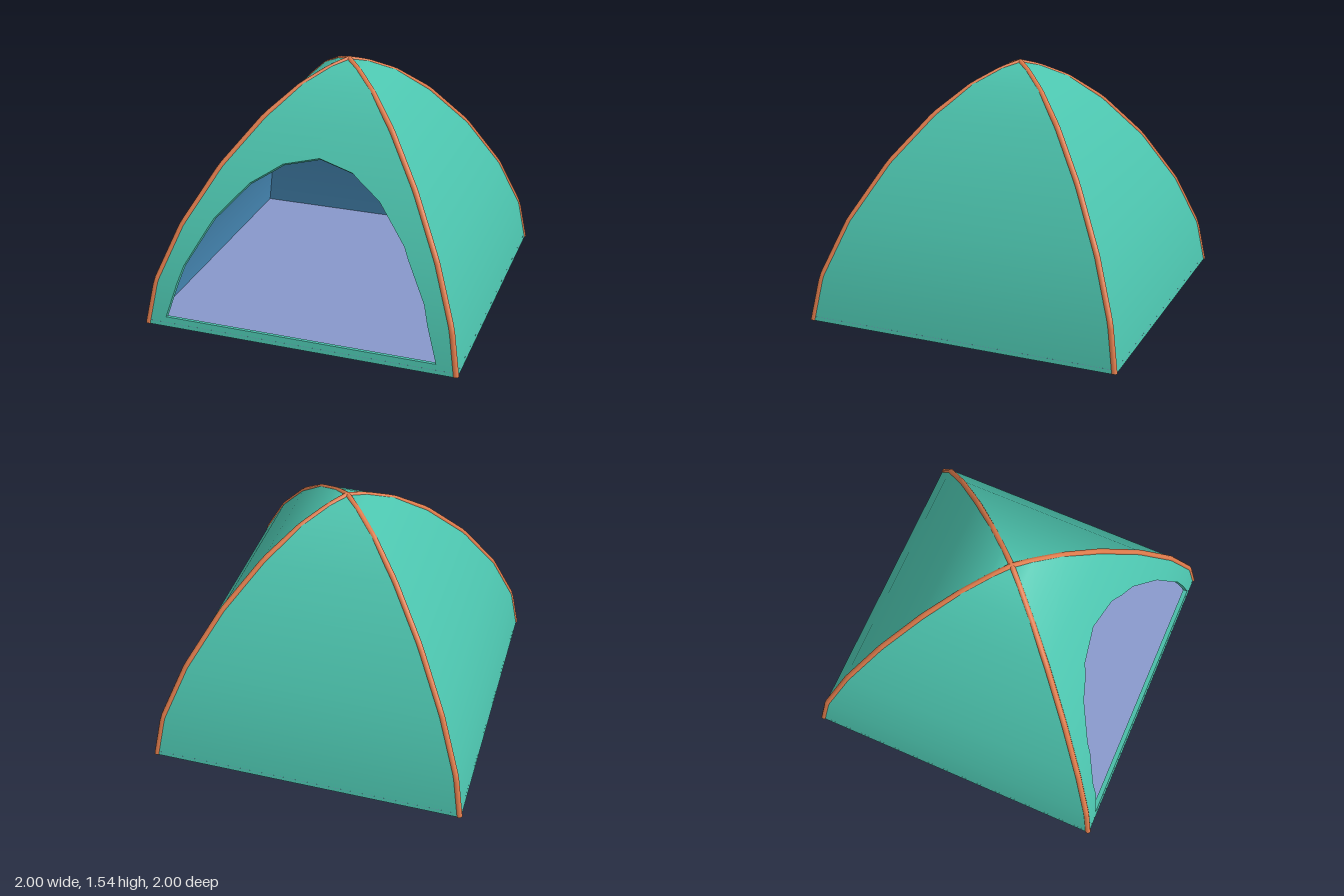
import * as THREE from 'three';

const T = 0.03; // wall thickness
// half-width and height of the square dome, base to apex
const PROFILE = [[0.992, 0], [0.945, 0.28], [0.815, 0.62], [0.625, 0.96], [0.415, 1.235], [0.24, 1.405], [0.1, 1.49], [0, 1.525]];
// half-width and height of the door arch, sill to crown
const ARCH = [[0.86, 0.06], [0.76, 0.39], [0.6, 0.68], [0.41, 0.89], [0.22, 1.01], [0, 1.06]];

// value of a polyline [x, y] at height y
function widthAt(line, y) {
  for (let i = 1; i < line.length; i++) {
    const [x0, y0] = line[i - 1], [x1, y1] = line[i];
    if (y <= y1 + 1e-9) return x0 + (x1 - x0) * (y - y0) / (y1 - y0);
  }
  return 0;
}

// smooth outward normal [out, up] at every profile point
const NORMALS = PROFILE.map((p, i) => {
  if (i === PROFILE.length - 1) return [0, 1];
  const a = PROFILE[Math.max(i - 1, 0)], b = PROFILE[i + 1];
  const l = Math.hypot(b[0] - a[0], b[1] - a[1]);
  return [(b[1] - a[1]) / l, (a[0] - b[0]) / l];
});

function makeRow(y) {
  const n = new THREE.Vector2(
    widthAt(PROFILE.map((p, i) => [NORMALS[i][0], p[1]]), y),
    widthAt(PROFILE.map((p, i) => [NORMALS[i][1], p[1]]), y)).normalize();
  const h = widthAt(PROFILE, y);
  const door = y >= ARCH[0][1] ? widthAt(ARCH, y) : 0;
  return { y, h, n, door, hIn: Math.max(h - T * n.x, 0), yIn: Math.max(y - T * n.y, 0) };
}

const ROWS = [...new Set([...PROFILE, ...ARCH].map(p => p[1]))].sort((a, b) => a - b).map(makeRow);

function toGeometry(positions, normals) {
  const g = new THREE.BufferGeometry();
  g.setAttribute('position', new THREE.Float32BufferAttribute(positions, 3));
  if (normals) g.setAttribute('normal', new THREE.Float32BufferAttribute(normals, 3));
  else g.computeVertexNormals();
  return g;
}

// one wall facing +z, in bands; inner walls face the other way
function wallGeometry(inner, hasDoor) {
  const pos = [], nor = [];
  const s = inner ? -1 : 1;
  const vertex = (r, x) => {
    pos.push(x, inner ? r.yIn : r.y, inner ? r.hIn : r.h);
    nor.push(0, s * r.n.y, s * r.n.x);
  };
  const quad = (a, b, al, ar, bl, br) => {
    const c = [[a, al], [a, ar], [b, br], [a, al], [b, br], [b, bl]];
    if (inner) c.reverse();
    c.forEach(([r, x]) => vertex(r, x));
  };
  for (let i = 1; i < ROWS.length; i++) {
    const a = ROWS[i - 1], b = ROWS[i];
    const ha = inner ? a.hIn : a.h, hb = inner ? b.hIn : b.h;
    if (hasDoor && a.door > 0) {
      quad(a, b, -ha, -a.door, -hb, -b.door);
      quad(a, b, a.door, ha, b.door, hb);
    } else quad(a, b, -ha, ha, -hb, hb);
  }
  return toGeometry(pos, nor);
}

// fabric edge all round the door, joining outer and inner wall
function doorRimGeometry() {
  const pos = [];
  const rows = ROWS.filter(r => r.y >= ARCH[0][1] && r.y <= ARCH[ARCH.length - 1][1]);
  const edge = [...rows.map(r => [r, r.door]), ...rows.slice(0, -1).reverse().map(r => [r, -r.door])];
  edge.forEach(([r, x], i) => {
    const [q, u] = edge[(i + 1) % edge.length];
    const a = [x, r.y, r.h], b = [u, q.y, q.h], c = [u, q.yIn, q.hIn], d = [x, r.yIn, r.hIn];
    pos.push(...a, ...b, ...c, ...a, ...c, ...d);
  });
  return toGeometry(pos);
}

export function createModel() {
  const group = new THREE.Group();
  const material = (name, color) => {
    const m = new THREE.MeshStandardMaterial({ color });
    m.name = name;
    return m;
  };
  const green = material('green fabric', 0x4cc4ae);
  const blue = material('blue lining', 0x4a8fbe);
  const lavender = material('lavender floor', 0x8797cb);
  const orange = material('orange pole', 0xe07c4c);
  green.side = THREE.DoubleSide;

  const add = (name, geometry, mat) => {
    const mesh = new THREE.Mesh(geometry, mat);
    mesh.name = name;
    group.add(mesh);
    return mesh;
  };

  // four walls with lining
  ['front', 'left', 'back', 'right'].forEach((side, i) => {
    const turn = i * Math.PI / 2;
    add(side + 'Wall', wallGeometry(false, i === 0), green).rotation.y = turn;
    add(side + 'Lining', wallGeometry(true, i === 0), blue).rotation.y = turn;
  });
  add('doorRim', doorRimGeometry(), green);

  // ground sheet
  const floor = add('floor', new THREE.BoxGeometry(1.976, 0.025, 1.976), lavender);
  floor.position.y = 0.0125;

  // two crossing poles along the ridges
  const half = PROFILE.map(([h, y]) => [Math.max(h - 0.01, 0), y - (h < 0.3 ? 0.008 : 0)]);
  const arc = [...half, ...half.slice(0, -1).reverse().map(([h, y]) => [-h, y])];
  for (const side of [1, -1]) {
    const path = new THREE.CurvePath();
    for (let i = 1; i < arc.length; i++) {
      const [a, b] = [arc[i - 1], arc[i]].map(([h, y]) => new THREE.Vector3(h * side, y, h));
      path.add(new THREE.LineCurve3(a, b));
    }
    add(side > 0 ? 'poleA' : 'poleB', new THREE.TubeGeometry(path, 84, 0.018, 8), orange);
  }
  return group;
}
